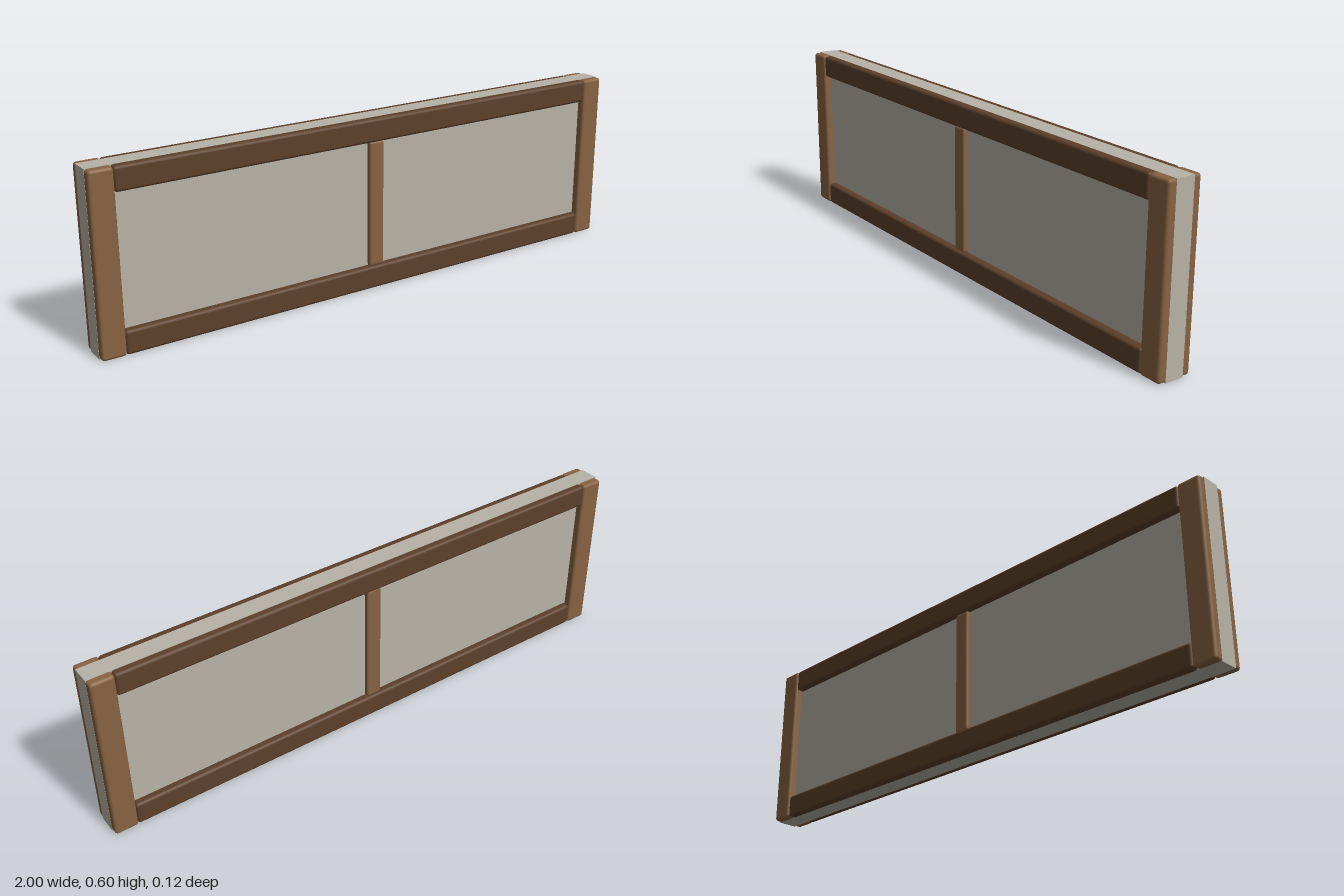
import * as THREE from 'three';
import { RoundedBoxGeometry } from 'three/addons/geometries/RoundedBoxGeometry.js';

export function createModel() {
  const model = new THREE.Group();
  model.name = 'timberFramedWall';

  const plaster = new THREE.MeshStandardMaterial({ color: 0xb8b3a7 });
  const postWood = new THREE.MeshStandardMaterial({ color: 0x886342 });
  const beamWood = new THREE.MeshStandardMaterial({ color: 0x5c402a });

  function add(name, geometry, material, x, y) {
    const mesh = new THREE.Mesh(geometry, material);
    mesh.name = name;
    mesh.position.set(x, y, 0);
    model.add(mesh);
  }

  // Softened timber, running through the wall so both faces match
  const timber = (w, h, d, r) => new RoundedBoxGeometry(w, h, d, 2, r);

  // Plaster infill, flush with the outer edges of the frame
  add('plasterPanel', new THREE.BoxGeometry(2, 0.6, 0.066), plaster, 0, 0.3);

  // End posts
  const post = timber(0.08, 0.599, 0.12, 0.01);
  add('leftPost', post, postWood, 0.9595, 0.3);
  add('rightPost', post, postWood, -0.9595, 0.3);

  // Top and bottom beams between the posts
  const beam = timber(1.84, 0.08, 0.116, 0.01);
  add('topBeam', beam, beamWood, 0, 0.5595);
  add('bottomBeam', beam, beamWood, 0, 0.0405);

  // Slim middle post
  add('middlePost', timber(0.056, 0.44, 0.1, 0.008), postWood, 0, 0.3);

  return model;
}
